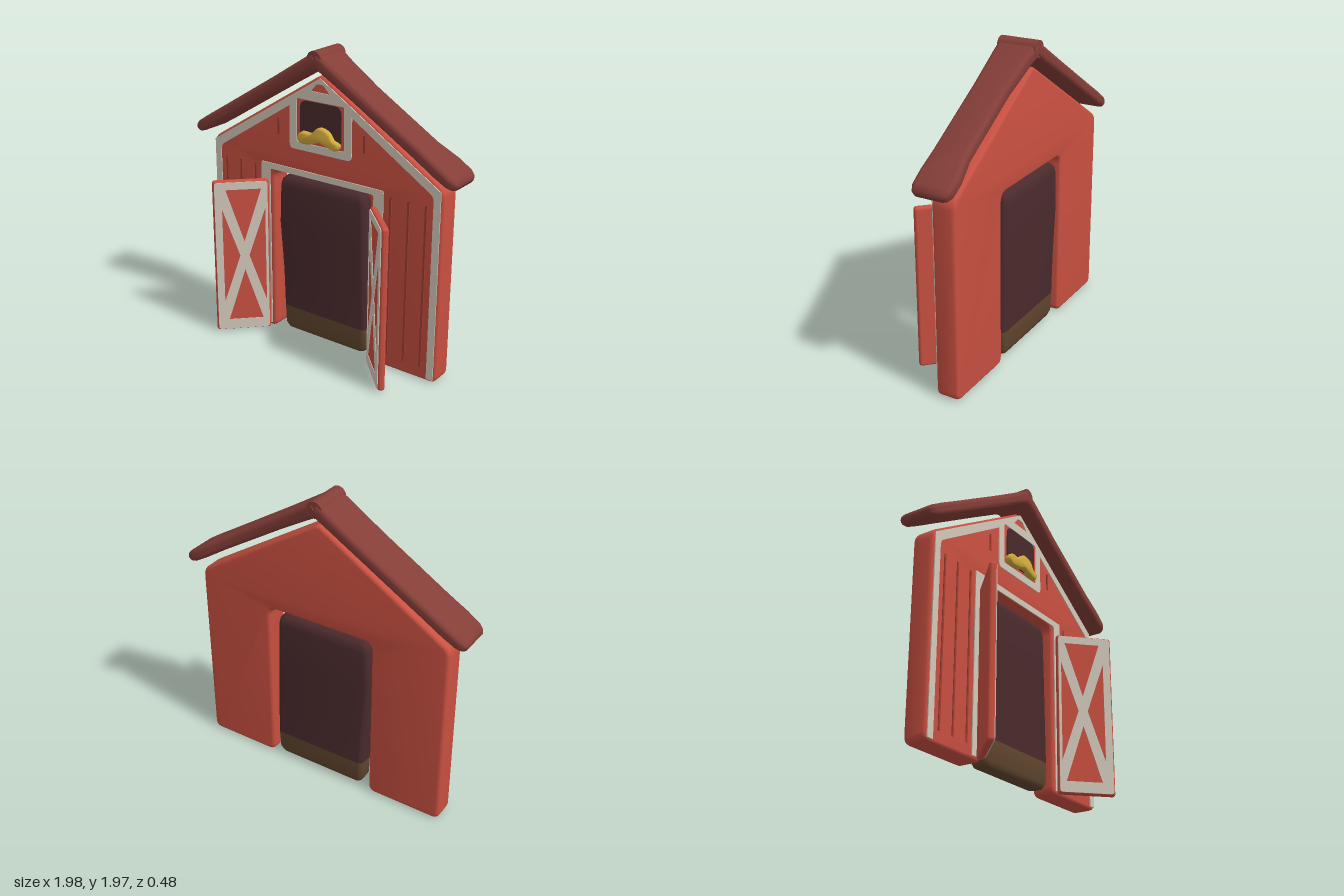
import * as THREE from 'three';
import { toCreasedNormals } from 'three/addons/utils/BufferGeometryUtils.js';
import { RoundedBoxGeometry } from 'three/addons/geometries/RoundedBoxGeometry.js';

const paint = (name, color) => {
  const m = new THREE.MeshStandardMaterial({ color });
  m.name = name;
  return m;
};

// Closed polygon with softened corners; each point is [x, y, radius?]
function roundedPoly(points, r = 0, target = new THREE.Shape()) {
  const v = points.map(p => new THREE.Vector2(p[0], p[1]));
  v.forEach((p, i) => {
    const radius = points[i][2] ?? r;
    const prev = v[(i + v.length - 1) % v.length], next = v[(i + 1) % v.length];
    const a = p.clone().add(prev.clone().sub(p).setLength(radius));
    const b = p.clone().add(next.clone().sub(p).setLength(radius));
    if (i === 0) target.moveTo(a.x, a.y);
    else target.lineTo(a.x, a.y);
    if (radius > 0) target.quadraticCurveTo(p.x, p.y, b.x, b.y);
  });
  target.closePath();
  return target;
}

const hole = (points, r = 0) => roundedPoly(points, r, new THREE.Path());
const rect = (x0, y0, x1, y1) => [[x0, y0], [x1, y0], [x1, y1], [x0, y1]];
const mirrorOutline = half => [...half, ...half.slice().reverse().filter(p => p[0] !== 0).map(p => [-p[0], p[1], p[2]])];

// Thin painted plate
const plate = shape => new THREE.ExtrudeGeometry(shape, { depth: 0.006, bevelEnabled: false, curveSegments: 5 });

// Rounded slab through rows of [y, x0, x1, z0, z1], closed at both ends
function loft(rows, radius, capStart = true, capEnd = true) {
  const pos = [], idx = [], n = 24;
  rows.forEach(([y, x0, x1, z0, z1]) => {
    const r = Math.min(radius, (x1 - x0) / 2, (z1 - z0) / 2);
    for (let i = 0; i < n; i++) {
      const corner = Math.floor(i / 6);
      const a = (corner + (i % 6) / 5) * Math.PI / 2;
      const cx = corner === 0 || corner === 3 ? x1 - r : x0 + r;
      const cz = corner < 2 ? z1 - r : z0 + r;
      pos.push(cx + r * Math.cos(a), y, cz + r * Math.sin(a));
    }
  });
  for (let k = 0; k < rows.length - 1; k++) {
    for (let i = 0; i < n; i++) {
      const a = k * n + i, b = k * n + (i + 1) % n;
      idx.push(a, a + n, b, b, a + n, b + n);
    }
  }
  const cap = (k, up) => {
    const [y, x0, x1, z0, z1] = rows[k], c = pos.length / 3;
    pos.push((x0 + x1) / 2, y, (z0 + z1) / 2);
    for (let i = 0; i < n; i++) {
      const a = k * n + i, b = k * n + (i + 1) % n;
      if (up) idx.push(c, b, a);
      else idx.push(c, a, b);
    }
  };
  if (capStart) cap(0, false);
  if (capEnd) cap(rows.length - 1, true);
  const g = new THREE.BufferGeometry();
  g.setAttribute('position', new THREE.Float32BufferAttribute(pos, 3));
  g.setIndex(idx);
  return toCreasedNormals(g, 0.9);
}

export function createModel() {
  const red = paint('barn red', 0xc95041);
  const grooveRed = paint('groove red', 0xa03d32);
  const cream = paint('cream trim', 0xd3c9bb);
  const roofRed = paint('roof maroon', 0x843e38);
  const dark = paint('dark interior', 0x4a2a2d);
  const brown = paint('brown floor', 0x62472f);
  const straw = paint('straw yellow', 0xd2aa3c);

  const model = new THREE.Group();
  const add = (name, geometry, material, x = 0, y = 0, z = 0, parent = model) => {
    const m = new THREE.Mesh(geometry, material);
    m.name = name;
    m.position.set(x, y, z);
    parent.add(m);
    return m;
  };
  const front = -0.04;

  // Gabled wall with the doorway cut out
  const wallShape = roundedPoly(mirrorOutline([
    [0, 1.82, 0.04], [0.88, 1.27, 0.05], [0.88, 0.005, 0.05], [0.37, 0.005, 0.05], [0.37, 1.14, 0.06],
  ]));
  const wall = new THREE.ExtrudeGeometry(wallShape, {
    depth: 0.1, bevelThickness: 0.025, bevelSize: 0.022, bevelOffset: -0.022, bevelSegments: 4, curveSegments: 6,
  });
  add('wall', toCreasedNormals(wall, 0.6), red, 0, 0, -0.165);

  // Cream trim along the wall edges, joined to the loft window surround
  const trim = roundedPoly(mirrorOutline([
    [0, 1.8], [0.862, 1.262], [0.862, 0.025], [0.815, 0.025], [0.815, 1.225, 0.03],
    [0.235, 1.595], [0.235, 1.32, 0.03],
  ]));
  trim.holes.push(hole(rect(-0.18, 1.37, 0.18, 1.65), 0.015));
  trim.holes.push(hole([[-0.07, 1.71], [0.07, 1.71], [0.025, 1.76], [-0.025, 1.76]], 0.008));
  add('wallTrim', plate(trim), cream, 0, 0, front);

  // Cream doorway surround
  add('doorwayTrim', plate(roundedPoly(mirrorOutline([
    [0.47, 1.185, 0.015], [0.47, 0.03], [0.4, 0.03], [0.4, 1.145, 0.02],
  ]))), cream, 0, 0, front);

  // Loft window and the straw spilling over its sill
  add('loftWindow', plate(roundedPoly(rect(-0.15, 1.39, 0.16, 1.645), 0.05)), dark, 0, 0, front + 0.002);
  const strawPoints = [
    [-0.145, 1.405], [-0.12, 1.435], [-0.05, 1.435], [0.01, 1.48], [0.07, 1.465],
    [0.105, 1.42], [0.14, 1.405], [0.13, 1.387], [0.08, 1.395], [0.01, 1.415], [-0.05, 1.395], [-0.13, 1.39],
  ].map(p => new THREE.Vector3(p[0], p[1], 0));
  const strawCurve = new THREE.CatmullRomCurve3(strawPoints, true);
  const strawShape = new THREE.Shape(strawCurve.getPoints(48).slice(0, -1).map(p => new THREE.Vector2(p.x, p.y)));
  const strawGeometry = new THREE.ExtrudeGeometry(strawShape, {
    depth: 0.015, bevelThickness: 0.02, bevelSize: 0.016, bevelSegments: 4,
  });
  add('straw', toCreasedNormals(strawGeometry, 0.9), straw, 0, 0, front + 0.005);

  // Plank grooves
  for (const s of [-1, 1]) {
    for (const x of [0.52, 0.645, 0.765]) {
      add('plankGroove', new THREE.BoxGeometry(0.014, 1.07, 0.006), grooveRed, s * x, 0.625, front + 0.002);
    }
    add('loftGroove', new THREE.BoxGeometry(0.014, 0.11, 0.006), grooveRed, s * 0.325, 1.445, front + 0.002);
  }

  // Slightly crooked dark slab in the doorway, with a brown foot
  add('doorwayFoot', loft([
    [0.02, -0.26, 0.29, -0.15, -0.09], [0.027, -0.295, 0.32, -0.17, -0.07],
    [0.06, -0.312, 0.338, -0.182, -0.058], [0.19, -0.316, 0.343, -0.185, -0.055],
  ], 0.035, true, false), brown);
  add('doorwayInterior', loft([
    [0.19, -0.316, 0.343, -0.185, -0.055], [0.45, -0.325, 0.335, -0.185, -0.055],
    [0.78, -0.352, 0.325, -0.185, -0.055], [1.04, -0.342, 0.316, -0.185, -0.055],
    [1.08, -0.332, 0.308, -0.18, -0.06], [1.1, -0.315, 0.295, -0.165, -0.075], [1.11, -0.28, 0.26, -0.145, -0.095],
  ], 0.035, false, true), dark);

  // Open doors with a cream frame and cross brace
  for (const s of [-1, 1]) {
    const door = new THREE.Group();
    door.name = s > 0 ? 'leftDoor' : 'rightDoor';
    door.position.set(s * 0.535, 0.545, 0.103);
    door.rotation.y = -s * Math.PI / 4;
    model.add(door);
    add('doorPanel', new RoundedBoxGeometry(0.365, 1.07, 0.045, 3, 0.018), red, 0, 0, 0, door);
    const flip = pts => pts.map(([x, y]) => [s * x, y]);
    const frame = roundedPoly(rect(-0.172, -0.525, 0.172, 0.525), 0.02);
    for (const v of [-1, 1]) {
      frame.holes.push(hole(flip([[-0.13, 0.01 + v * 0.465], [0.1, 0.01 + v * 0.465], [-0.015, 0.01 + v * 0.1]])));
      frame.holes.push(hole(flip([
        [-0.015 + v * 0.14, 0.34], [-0.015 + v * 0.14, -0.32], [-0.015 + v * 0.03, 0.01],
      ])));
    }
    add('doorFrame', plate(frame), cream, 0, 0, 0.02, door);
  }

  // Two roof slabs, the left one narrowing at the back, and the ridge
  const slope = Math.atan2(0.98, 0.6);
  const roofRows = wavy => [
    [0, 0.046, -0.232, 0.035], [0.1, 0.044, wavy ? -0.215 : -0.232, 0.035], [0.35, 0.041, wavy ? -0.195 : -0.232, 0.03],
    [0.85, 0.04, wavy ? -0.195 : -0.228, 0.03], [1.0, 0.04, wavy ? -0.222 : -0.228, 0.035],
    [1.1, 0.038, -0.222, 0.032], [1.135, 0.03, -0.212, 0.02], [1.15, 0.016, -0.19, 0],
  ].map(([d, h, z0, z1]) => [d, -h, h, z0, z1]);
  for (const s of [-1, 1]) {
    const slab = add(s > 0 ? 'leftRoof' : 'rightRoof', loft(roofRows(s > 0), 0.03), roofRed, 0, 1.922, 0);
    slab.rotation.z = -s * (Math.PI - slope);
  }
  const ridge = add('roofRidge', new THREE.CylinderGeometry(0.052, 0.052, 0.255, 20), roofRed, 0, 1.925, -0.098);
  ridge.rotation.x = Math.PI / 2;

  return model;
}
